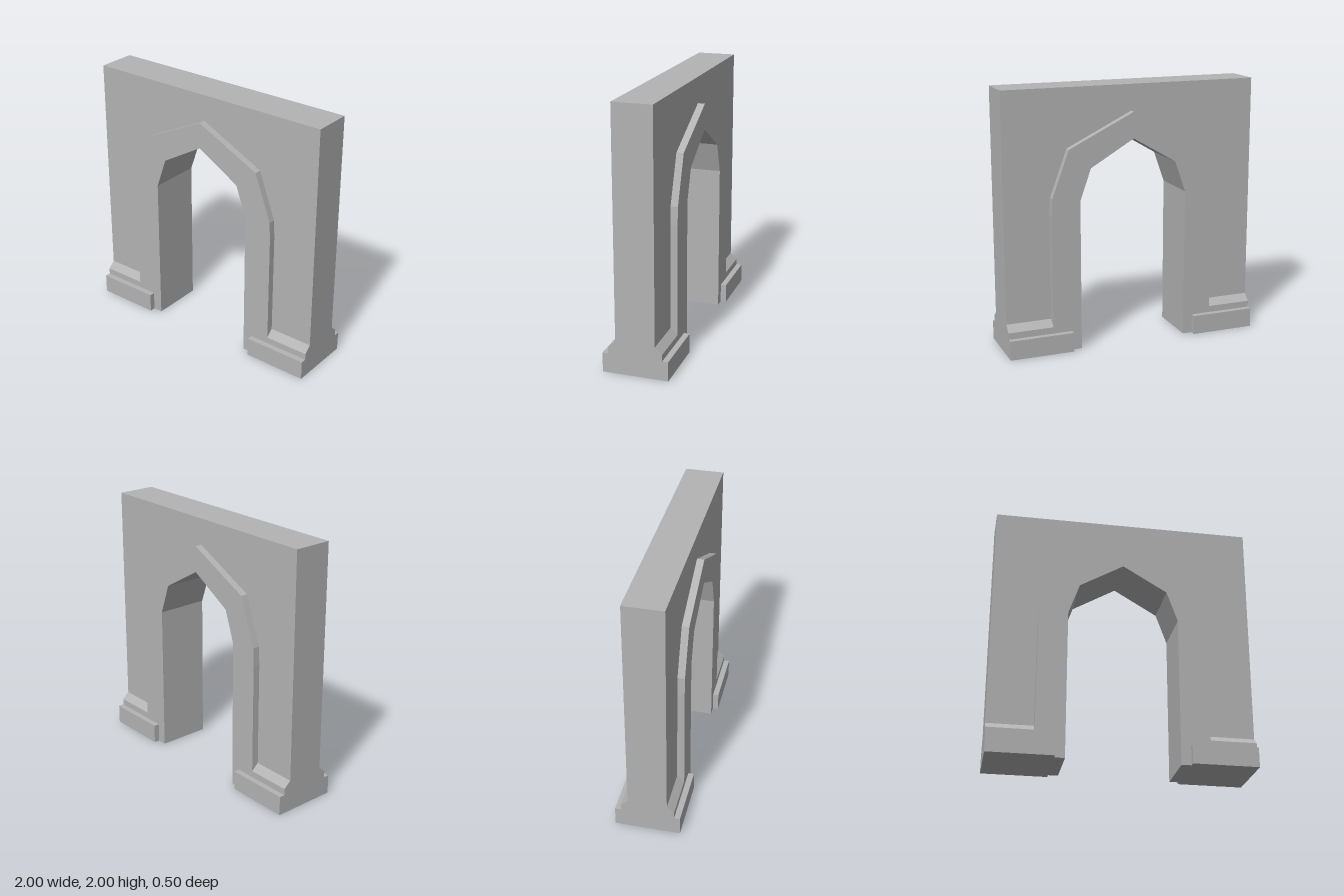
import * as THREE from 'three';

export function createModel() {
  const group = new THREE.Group();
  const stone = new THREE.MeshStandardMaterial({ color: 0xb3b3b3 });
  stone.name = 'grey stone';

  const add = (name, geometry) => {
    const mesh = new THREE.Mesh(geometry, stone);
    mesh.name = name;
    group.add(mesh);
    return mesh;
  };

  // Half outlines on the +x side, mirrored across the apex
  const mirrored = (half) => [
    ...half,
    ...half.filter(([x]) => x > 0).reverse().map(([x, y]) => [-x, y]),
  ];
  const outer = mirrored([[0.65, 0.2], [0.65, 1.05], [0.643, 1.19], [0.51, 1.55], [0, 1.8]]);
  const inner = mirrored([[0.425, 0], [0.425, 1.16], [0.34, 1.4], [0, 1.6]]);

  // Extrudes an outline to a slab centred on z = 0
  const slab = (points, depth) => {
    const shape = new THREE.Shape(points.map(([x, y]) => new THREE.Vector2(x, y)));
    return new THREE.ExtrudeGeometry(shape, { depth, bevelEnabled: false })
      .translate(0, 0, -depth / 2);
  };

  // Wall around the arch
  add('wall', slab([[1, 0.2], [1, 2], [-1, 2], [-1, 0.2], ...[...outer].reverse()], 0.3));

  // Raised arch surround, running into the base course on both sides
  add('archSurround', slab([[1, 0], [1, 0.2], ...outer, [-1, 0.2], [-1, 0], ...[...inner].reverse()], 0.41));

  // Sloped course and footing block on each face of each pier
  const slope = new THREE.Shape([
    new THREE.Vector2(0.15, 0.2), new THREE.Vector2(0.205, 0.2), new THREE.Vector2(0.15, 0.25),
  ]);
  for (const side of [1, -1]) {
    for (const face of [1, -1]) {
      const wedge = new THREE.ExtrudeGeometry(slope, { depth: 0.35, bevelEnabled: false })
        .translate(0, 0, -0.175)
        .rotateY(-face * Math.PI / 2);
      // The quarter turn carries the profile onto the front or back face
      wedge.translate(side * 0.825, 0, 0);
      add('slopedCourse', wedge);

      const footing = add('footing', new THREE.BoxGeometry(0.5, 0.15, 0.045));
      footing.position.set(side * 0.75, 0.075, face * 0.2275);
    }
  }
  return group;
}
